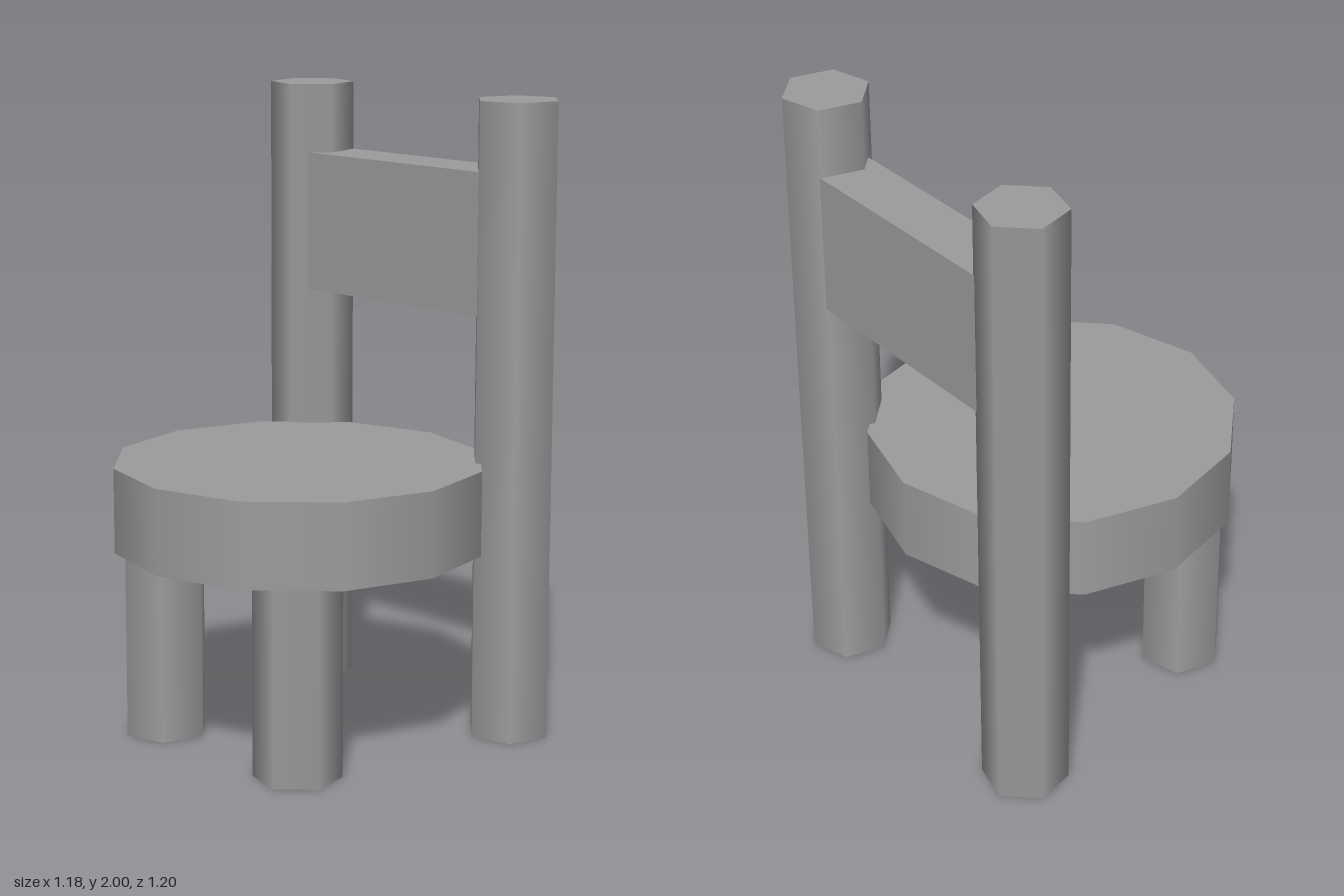
import * as THREE from 'three';

const material = new THREE.MeshStandardMaterial({ color: 0x9c9c9c, side: THREE.DoubleSide });

// Mesh that keeps only the given ranges of its geometry's index
function partialMesh(name, geometry, ranges, x, y, z) {
  const index = Array.from(geometry.index.array);
  geometry.setIndex(ranges.flatMap(([start, end]) => index.slice(start, end)));
  geometry.clearGroups();
  const mesh = new THREE.Mesh(geometry, material);
  mesh.name = name;
  mesh.position.set(x, y, z);
  return mesh;
}

// Smooth-sided prism with a flat top and an open bottom, from y0 up to y1
function openPrism(name, radius, sides, y0, y1, x, z, turn = 0) {
  const geometry = new THREE.CylinderGeometry(radius, radius, y1 - y0, sides, 1, false, turn);
  return partialMesh(name, geometry, [[0, sides * 9]], x, (y0 + y1) / 2, z);
}

export function createModel() {
  const chair = new THREE.Group();
  chair.name = 'chair';
  const twist = THREE.MathUtils.degToRad(15);

  // Twelve-sided seat
  chair.add(openPrism('seat', 0.583, 12, 0.618, 0.885, 0.004, 0.018));

  // Six-sided back posts and short front legs, twisted in mirror image
  for (const side of [-1, 1]) {
    const label = side > 0 ? 'left' : 'right';
    chair.add(openPrism(label + 'BackPost', 0.135, 6, 0, 2, -0.003 + side * 0.455, -0.472, -side * twist));
    chair.add(openPrism(label + 'FrontLeg', 0.136, 6, 0, 0.65, 0.007 + side * 0.306, 0.312, side * twist));
  }

  // Backrest board, open underneath, its ends sunk into the posts
  const board = new THREE.BoxGeometry(0.79, 0.447, 0.186);
  chair.add(partialMesh('backrest', board, [[0, 18], [24, 36]], -0.003, 1.556, -0.476));

  return chair;
}
